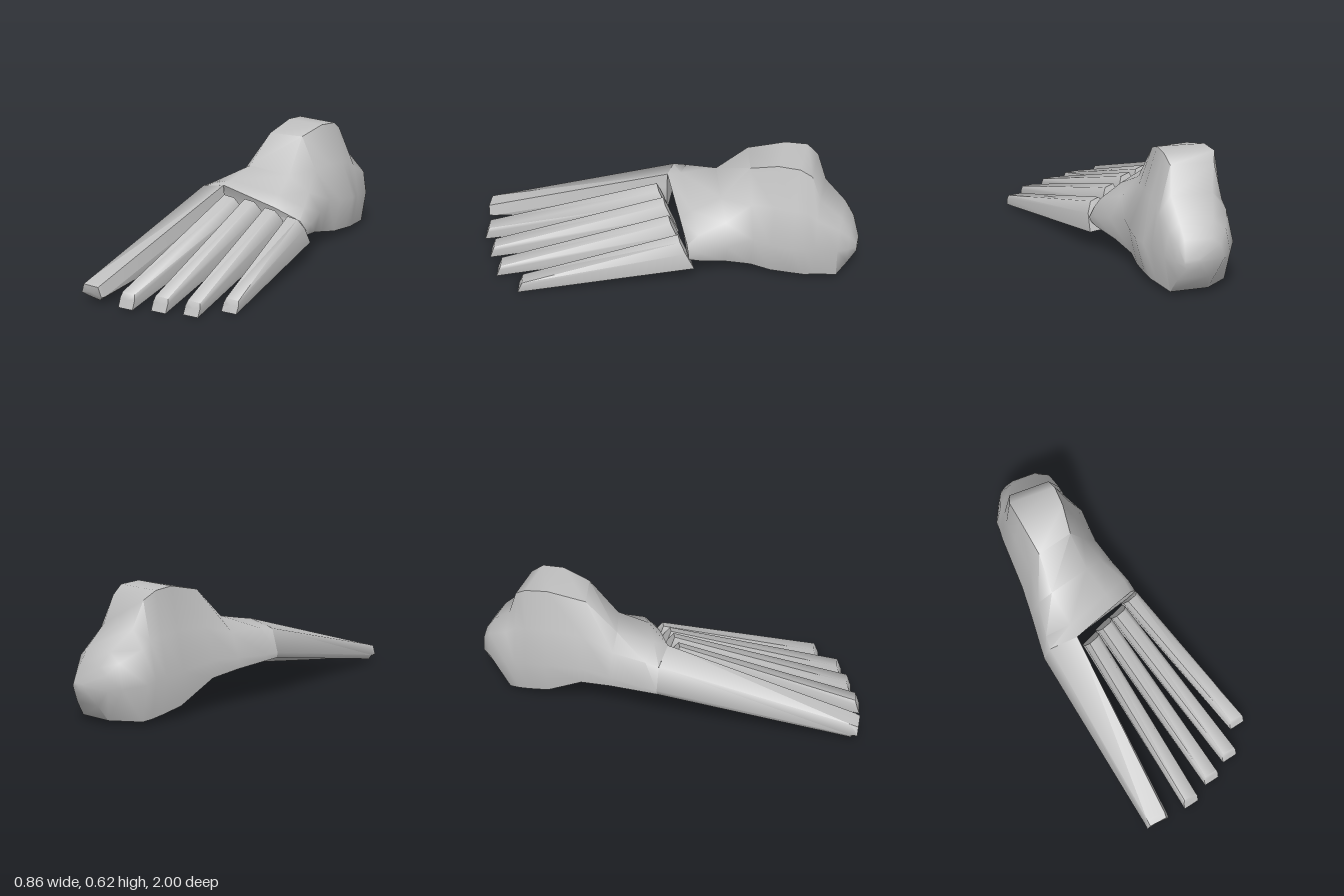
import * as THREE from 'three';
import { toCreasedNormals } from 'three/addons/utils/BufferGeometryUtils.js';

const bone = new THREE.MeshStandardMaterial({ color: 0xc0c0c0 });
bone.name = 'bone grey';

const lerp = THREE.MathUtils.lerp;

// Skin a list of rings (back to front, each clockwise seen from the front) and cap both ends
function loft(name, rings, crease) {
  const n = rings[0].length;
  const pos = rings.flat(2);
  const idx = [];
  for (let i = 0; i < rings.length - 1; i++) {
    for (let j = 0; j < n; j++) {
      const k = (j + 1) % n;
      const a = i * n + j, b = i * n + k, c = a + n, d = b + n;
      idx.push(a, c, b, b, c, d);
    }
  }
  const cap = (r, front) => {
    const centre = pos.length / 3;
    for (let q = 0; q < 3; q++) pos.push(rings[r].reduce((s, p) => s + p[q], 0) / n);
    for (let j = 0; j < n; j++) {
      const a = r * n + j, b = r * n + ((j + 1) % n);
      idx.push(centre, front ? b : a, front ? a : b);
    }
  };
  cap(0, false);
  cap(rings.length - 1, true);
  const geo = new THREE.BufferGeometry();
  geo.setAttribute('position', new THREE.Float32BufferAttribute(pos, 3));
  geo.setIndex(idx);
  const mesh = new THREE.Mesh(toCreasedNormals(geo, crease), bone);
  mesh.name = name;
  return mesh;
}

// Eight-sided section: base, widest line, shoulder and top on both sides.
// Right of the inner edge it slants back (shear) and flattens (drop).
function section([z, yL, yR, yM, yT, bL, bR, mL, mR, tL, tR, rise, shear = 0, drop = 0]) {
  const yS = lerp(yM, yT, rise);
  const outline = [
    [bL, yL], [mL, yM], [lerp(tL, mL, rise), yS], [tL, yT],
    [tR, yT], [lerp(tR, mR, rise), yS], [mR, yM], [bR, yR],
  ];
  return outline.map(([x, y]) => {
    const d = Math.max(0, x + 0.235);
    return [x, yR + (y - yR) * (1 - drop * d), z + shear * d];
  });
}

// Heel, ankle stump and instep, from the back forwards; the inner base rises into an arch
function buildHeelAndAnkle() {
  const heel = [
    [-1.0, 0.155, 0.155, 0.18, 0.2, -0.17, -0.11, -0.18, -0.1, -0.17, -0.11, 0.7],
    [-0.96, 0.1, 0.095, 0.18, 0.28, -0.23, -0.08, -0.3, -0.07, -0.24, -0.11, 0.7],
    [-0.91, 0.025, 0.02, 0.19, 0.35, -0.24, -0.06, -0.345, -0.03, -0.26, -0.1, 0.72],
    [-0.8, 0.02, 0.025, 0.2, 0.445, -0.355, -0.03, -0.395, 0.0, -0.29, -0.09, 0.65],
    [-0.75, 0.025, 0.03, 0.21, 0.575, -0.362, -0.01, -0.395, 0.025, -0.31, -0.1, 0.5],
  ];
  const ankle = [
    [-0.69, 0.037, 0.037, 0.22, 0.616, -0.37, 0.0, -0.4, 0.05, -0.33, -0.087, 0.47],
    [-0.58, 0.06, 0.045, 0.23, 0.622, -0.377, 0.01, -0.4, 0.05, -0.315, -0.085, 0.47],
    [-0.39, 0.165, 0.065, 0.25, 0.58, -0.395, 0.01, -0.4, 0.05, -0.285, -0.1, 0.47, -0.35],
  ];
  const instep = [
    [-0.23, 0.185, 0.1, 0.24, 0.43, -0.405, 0.06, -0.41, 0.09, -0.285, -0.07, 0.62, -0.42, 0.6],
    [-0.05, 0.2, 0.13, 0.23, 0.391, -0.42, 0.125, -0.425, 0.137, -0.255, -0.02, 0.78, -0.5, 1.1],
    [0.02, 0.205, 0.14, 0.23, 0.378, -0.425, 0.14, -0.43, 0.15, -0.245, 0.0, 0.8, -0.52, 1.8],
  ];
  return loft('heelAndAnkle', [...heel, ...ankle, ...instep].map(section), 1.05);
}

// Big toe, continuing the inner side of the instep
function buildBigToe() {
  const at = (z, outline) => outline.map(([x, y, dz = 0]) => [x, y, z + dz]);
  return loft('bigToe', [
    at(0.02, [[-0.425, 0.205], [-0.43, 0.23], [-0.393, 0.348], [-0.245, 0.378], [-0.236, 0.3], [-0.236, 0.15]]),
    at(0.96, [[-0.24, 0.02], [-0.257, 0.045], [-0.243, 0.1], [-0.147, 0.1], [-0.13, 0.04], [-0.165, 0.015]]),
    at(0.995, [[-0.235, 0.03, -0.02], [-0.253, 0.045], [-0.238, 0.09], [-0.148, 0.09, -0.01], [-0.132, 0.04, -0.015], [-0.165, 0.025, -0.02]]),
  ], 1.2);
}

// Small toe: a tapering bar with a flat base and a bevelled, slightly rolled top
function buildToe(name, back, front) {
  const end = ([x, y, z, w, h, lean, skew, top, roll]) => [
    [-0.5, 0], [-0.5, 0.65], [-top, 1], [top, 1], [0.5, 0.65], [0.5, 0],
  ].map(([u, v]) => [x + u * w, y + v * (h - u * w * roll), z + v * lean - u * w * skew]);
  return loft(name, [end(back), end(front)], 1.35);
}

export function createModel() {
  const model = new THREE.Group();
  model.name = 'footBones';
  model.add(buildHeelAndAnkle(), buildBigToe());

  // Per toe: back x, y, z, height, then front x, y, z, height
  const toes = [
    ['secondToe', -0.172, 0.19, -0.015, 0.15, 0.005, 0.012, 0.955, 0.072],
    ['thirdToe', -0.08, 0.175, -0.07, 0.148, 0.149, 0.01, 0.88, 0.068],
    ['fourthToe', 0.016, 0.14, -0.12, 0.144, 0.282, 0.002, 0.802, 0.065],
    ['littleToe', 0.108, 0.097, -0.19, 0.143, 0.387, 0.004, 0.655, 0.06],
  ];
  for (const [name, bx, by, bz, bh, fx, fy, fz, fh] of toes) {
    model.add(buildToe(name,
      [bx, by, bz, 0.09, bh, 0.07, 0.45, 0.27, 0.25],
      [fx, fy, fz, 0.08, fh, -0.025, 0.2, 0.42, 0.05]));
  }
  return model;
}
